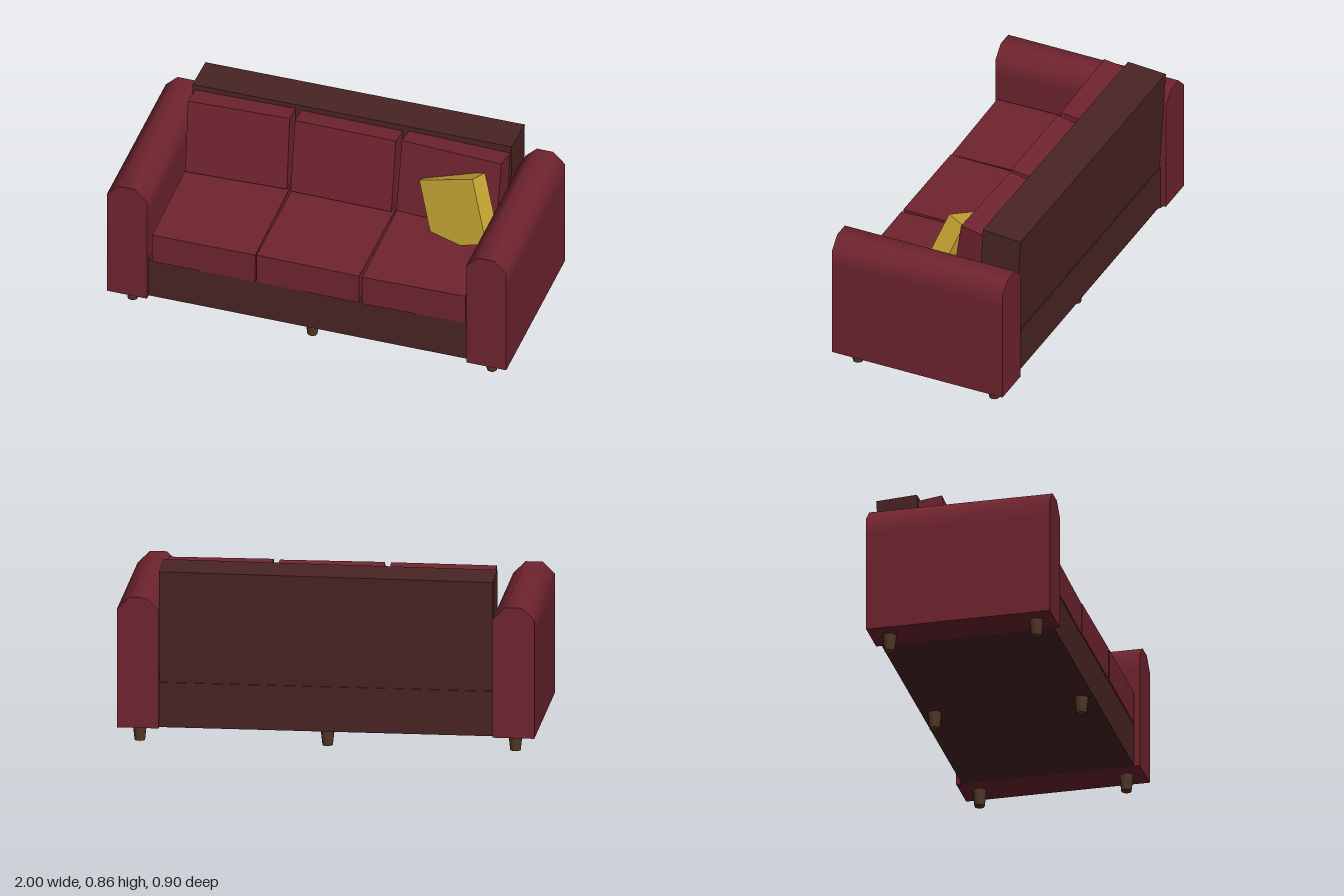
import * as THREE from 'three';
import { toCreasedNormals } from 'three/addons/utils/BufferGeometryUtils.js';

const paint = (name, color) => {
  const m = new THREE.MeshStandardMaterial({ color });
  m.name = name;
  return m;
};

export function createModel() {
  const sofa = new THREE.Group();
  sofa.name = 'sofa';

  const red = paint('wine fabric', 0x70242f);
  const dark = paint('dark frame', 0x4a2424);
  const wood = paint('leg wood', 0x553828);
  const gold = paint('mustard fabric', 0xc8a634);

  const add = (name, geometry, material, pos, rot = [0, 0, 0]) => {
    const mesh = new THREE.Mesh(geometry, material);
    mesh.name = name;
    mesh.position.set(...pos);
    mesh.rotation.set(...rot);
    sofa.add(mesh);
    return mesh;
  };
  const box = (w, h, d) => new THREE.BoxGeometry(w, h, d);

  // Frame: base and a backrest leaning slightly back
  add('base', box(1.6, 0.22, 0.845), dark, [0, 0.19, 0]);
  add('backrest', box(1.6, 0.57, 0.2), dark, [0, 0.568, -0.333], [-0.06, 0, 0.005]);

  // Arms: upright slab whose top is half an octagon, softly shaded
  const half = 0.1, c = 0.0414;
  const profile = new THREE.Shape([
    [-half, 0.08], [half, 0.08], [half, 0.58], [half, 0.62 + c], [c, 0.72],
    [-c, 0.72], [-half, 0.62 + c], [-half, 0.58],
  ].map(([x, y]) => new THREE.Vector2(x, y)));
  const armGeometry = toCreasedNormals(
    new THREE.ExtrudeGeometry(profile, { depth: 0.9, bevelEnabled: false }), 0.9);
  armGeometry.translate(0, 0, -0.45);
  add('leftArm', armGeometry, red, [0.9, 0, 0]);
  add('rightArm', armGeometry, red, [-0.9, 0, 0]);

  // Seat cushions, each laid a little askew
  const seatTurns = [[0.004, 0.012, -0.006], [0, -0.006, -0.004], [0, 0.01, 0.008]];
  seatTurns.forEach((rot, i) =>
    add('seatCushion', box(0.515, 0.16, 0.63), red, [(i - 1) * 0.527, 0.373, 0.113], rot));

  // Back cushions resting against the backrest
  const backTurns = [[-0.15, 0.025, 0.014], [-0.16, 0, -0.006], [-0.15, -0.035, -0.022]];
  backTurns.forEach((rot, i) =>
    add('backCushion', box(0.505, 0.385, 0.15), red, [(i - 1) * 0.532, 0.646, -0.184], rot));

  // Throw pillow, tipped on its corner
  const pillow = add('throwPillow', box(0.328, 0.328, 0.1), gold, [0.602, 0.589, -0.046]);
  pillow.quaternion.setFromRotationMatrix(new THREE.Matrix4().makeBasis(
    new THREE.Vector3(0.884, 0.411, 0.229).normalize(),
    new THREE.Vector3(-0.304, 0.897, -0.319).normalize(),
    new THREE.Vector3(-0.336, 0.212, 0.918).normalize()));

  // Six tapered legs
  const legGeometry = new THREE.CylinderGeometry(0.034, 0.025, 0.08, 12);
  for (const x of [-0.9, 0, 0.9])
    for (const z of [-0.36, 0.36]) add('leg', legGeometry, wood, [x, 0.04, z]);

  return sofa;
}
